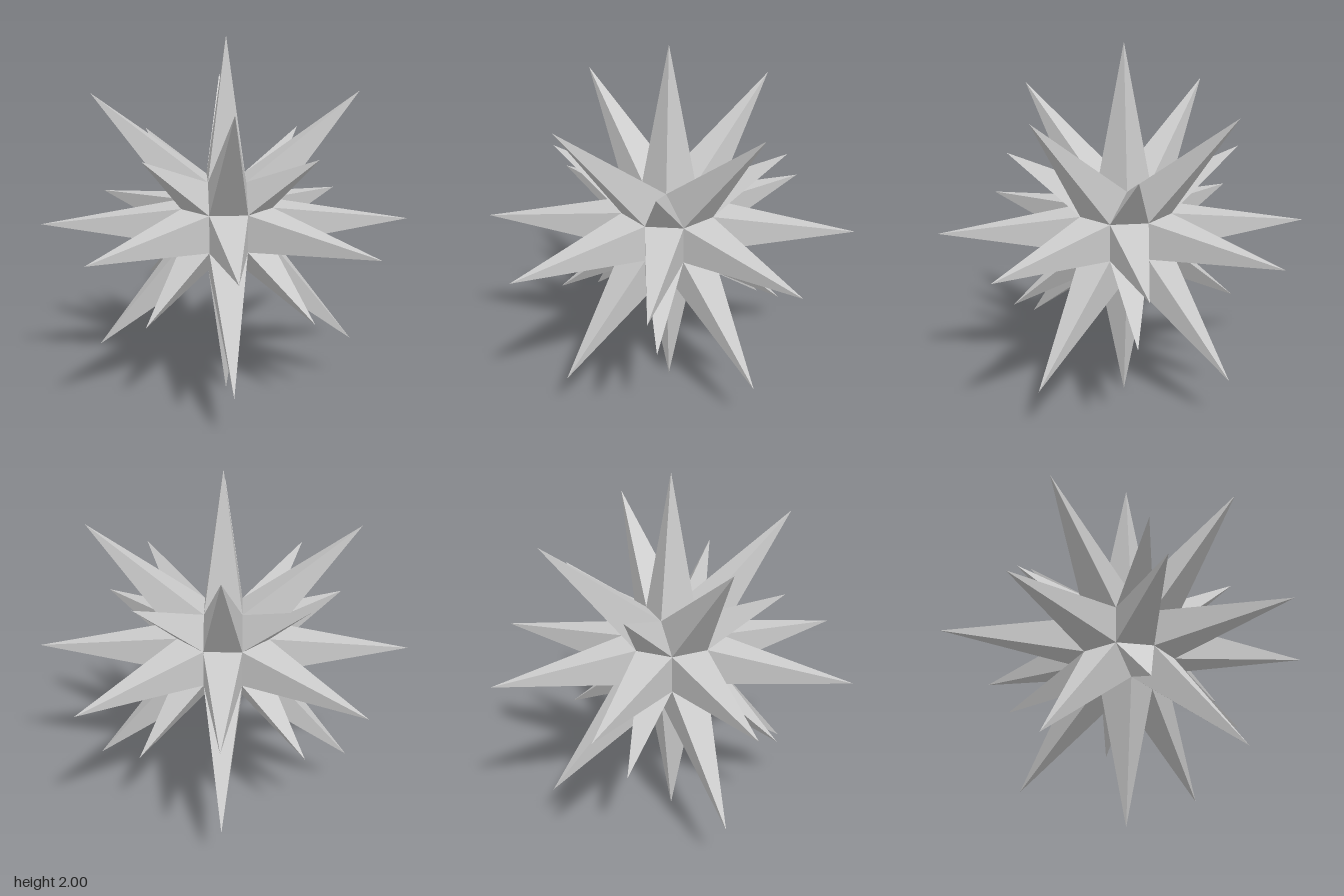
import * as THREE from 'three';

const HALF_EDGE = 0.101;                       // half the edge of the hidden core
const REACH = HALF_EDGE * (1 + Math.SQRT2);    // distance of the core's square faces
const LONG_TIP = 1.0, SHORT_TIP = 0.755;       // tip distances from the centre

// Corners of the rhombicuboctahedron core: permutations of (±h, ±h, ±reach)
function coreCorners() {
  const corners = [];
  for (let axis = 0; axis < 3; axis++)
    for (const a of [-1, 1]) for (const b of [-1, 1]) for (const c of [-1, 1]) {
      const p = [a * HALF_EDGE, b * HALF_EDGE, c * HALF_EDGE];
      p[axis] *= REACH / HALF_EDGE;
      corners.push(new THREE.Vector3(...p));
    }
  return corners;
}

// Pyramid standing on the core face that looks along dir
function spikeGeometry(dir, corners, length) {
  const far = Math.max(...corners.map(p => p.dot(dir)));
  const helper = Math.abs(dir.y) > 0.9 ? new THREE.Vector3(1, 0, 0) : new THREE.Vector3(0, 1, 0);
  const u = helper.cross(dir).normalize();
  const v = dir.clone().cross(u);
  const angle = p => Math.atan2(p.dot(v), p.dot(u));
  const base = corners.filter(p => p.dot(dir) > far - 1e-5).sort((p, q) => angle(p) - angle(q));
  const tip = dir.clone().multiplyScalar(length);
  const points = [];
  base.forEach((p, i) => points.push(p, base[(i + 1) % base.length], tip));
  const geometry = new THREE.BufferGeometry().setFromPoints(points);
  geometry.computeVertexNormals();
  return geometry;
}

export function createModel() {
  const star = new THREE.Group();
  star.name = 'spikedStar';
  const material = new THREE.MeshStandardMaterial({ color: 0xcccccc, flatShading: true });
  const corners = coreCorners();
  const names = { 1: 'axisSpike', 2: 'diagonalSpike', 3: 'cornerSpike' };

  // One spike for each of the 26 faces: 18 square long ones, 8 triangular short ones
  for (let x = -1; x <= 1; x++) for (let y = -1; y <= 1; y++) for (let z = -1; z <= 1; z++) {
    const kind = Math.abs(x) + Math.abs(y) + Math.abs(z);
    if (!kind) continue;
    const dir = new THREE.Vector3(x, y, z).normalize();
    const spike = new THREE.Mesh(spikeGeometry(dir, corners, kind === 3 ? SHORT_TIP : LONG_TIP), material);
    spike.name = names[kind];
    spike.position.y = 1;
    star.add(spike);
  }
  return star;
}
